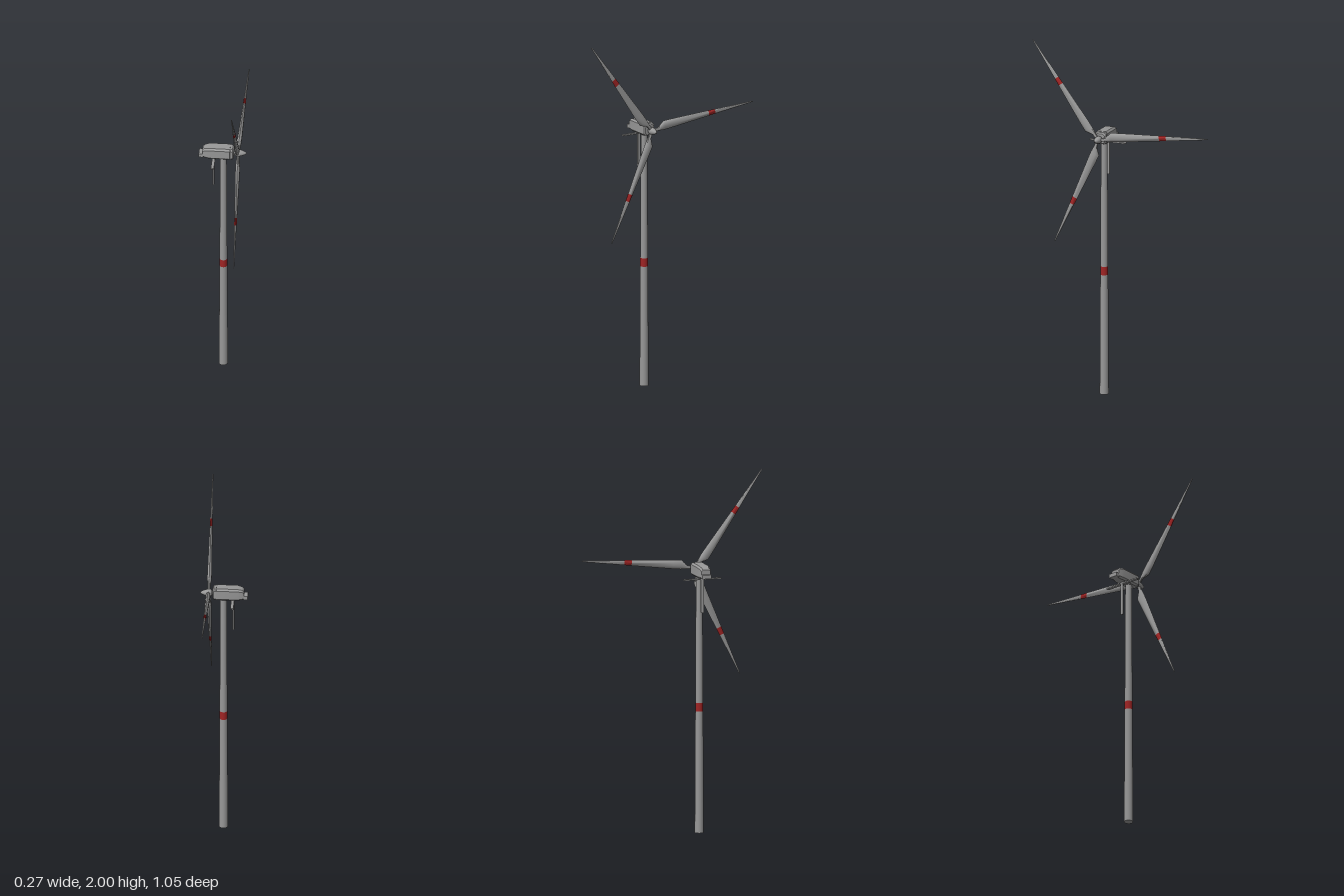
import * as THREE from 'three';
import { toCreasedNormals } from 'three/addons/utils/BufferGeometryUtils.js';

const grey = new THREE.MeshStandardMaterial({ color: 0x989898 });
grey.name = 'paintedGrey';
const red = new THREE.MeshStandardMaterial({ color: 0xa02424 });
red.name = 'warningRed';

const AXIS_Y = 1.468; // rotor axis height
const TOWER_Z = 0.13;

function add(parent, name, geometry, material, x = 0, y = 0, z = 0) {
  const mesh = new THREE.Mesh(geometry, material);
  mesh.name = name;
  mesh.position.set(x, y, z);
  parent.add(mesh);
  return mesh;
}

// Skin a list of equal-length point rings and close both ends
function loft(rings, crease) {
  const pos = [];
  const tri = (...pts) => pts.forEach((p) => pos.push(...p));
  const n = rings[0].length;
  const last = rings[rings.length - 1];
  for (let i = 0; i < rings.length - 1; i++) {
    for (let j = 0; j < n; j++) {
      const k = (j + 1) % n;
      const [a, b, c, d] = [rings[i][j], rings[i][k], rings[i + 1][j], rings[i + 1][k]];
      tri(a, b, c);
      tri(b, d, c);
    }
  }
  for (let j = 1; j < n - 1; j++) {
    tri(rings[0][0], rings[0][j + 1], rings[0][j]);
    tri(last[0], last[j], last[j + 1]);
  }
  const g = new THREE.BufferGeometry();
  g.setAttribute('position', new THREE.Float32BufferAttribute(pos, 3));
  return toCreasedNormals(g, crease);
}

// Blade ring at radius r: chord runs from -back to +front, t is half thickness
function bladeRing([r, back, front, t]) {
  const ring = [];
  for (let j = 0; j < 10; j++) {
    const a = (j / 10) * Math.PI * 2;
    ring.push([t * Math.sin(a), r, (front - back) / 2 + ((front + back) / 2) * Math.cos(a)]);
  }
  return ring;
}

function makeBlade() {
  const blade = new THREE.Group();
  const bandIn = [0.37, 0.009, 0.022, 0.0075];
  const bandOut = [0.412, 0.008, 0.019, 0.007];
  const inner = [
    [0.01, 0.009, 0.009, 0.009], [0.042, 0.009, 0.01, 0.009],
    [0.08, 0.013, 0.039, 0.013], [0.13, 0.013, 0.037, 0.0125], bandIn,
  ];
  const outer = [bandOut, [0.655, 0.004, 0.003, 0.0025], [0.66, 0.002, 0.002, 0.0015]];
  add(blade, 'bladeInner', loft(inner.map(bladeRing), 1), grey);
  add(blade, 'bladeBand', loft([bandIn, bandOut].map(bladeRing), 1), red);
  add(blade, 'bladeTip', loft(outer.map(bladeRing), 1), grey);
  return blade;
}

// Nacelle ring at x: chamfered rectangle with half width w between y0 and y1
function nacelleRing([x, w, y0, y1, c]) {
  return [
    [x, y1, -w + c], [x, y1, w - c], [x, y1 - c, w], [x, y0 + c, w],
    [x, y0, w - c], [x, y0, -w + c], [x, y0 + c, -w], [x, y1 - c, -w],
  ];
}

export function createModel() {
  const model = new THREE.Group();
  model.name = 'windTurbine';

  // Tower: stacked tapering sections with a red band
  const towerR = (y) => 0.025 - 0.007 * (y / 1.44);
  const tower = new THREE.Group();
  tower.name = 'tower';
  tower.position.z = TOWER_Z;
  model.add(tower);
  for (const [name, y0, y1, mat] of [
    ['towerLower', 0, 0.68, grey], ['towerBand', 0.68, 0.728, red], ['towerUpper', 0.728, 1.445, grey],
  ]) {
    add(tower, name, new THREE.CylinderGeometry(towerR(y1), towerR(y0), y1 - y0, 16), mat, 0, (y0 + y1) / 2);
  }

  // Nacelle housing, front collar and rear cooler
  const nacelle = new THREE.Group();
  nacelle.name = 'nacelle';
  nacelle.position.z = TOWER_Z;
  model.add(nacelle);
  const body = [
    [-0.114, 0.026, 1.442, 1.489, 0.008], [-0.104, 0.029, 1.439, 1.499, 0.009],
    [-0.078, 0.035, 1.436, 1.506, 0.01], [0.038, 0.035, 1.436, 1.507, 0.01],
  ];
  const collar = [
    [0.04, 0.034, 1.437, 1.506, 0.01], [0.052, 0.033, 1.438, 1.504, 0.01],
    [0.059, 0.027, 1.443, 1.497, 0.01],
  ];
  add(nacelle, 'housing', loft(body.map(nacelleRing), 0.5), grey);
  add(nacelle, 'frontCollar', loft(collar.map(nacelleRing), 0.5), grey);
  add(nacelle, 'collarJoint', new THREE.BoxGeometry(0.006, 0.062, 0.062), grey, 0.039, 1.471);
  add(nacelle, 'rearCooler', new THREE.BoxGeometry(0.024, 0.022, 0.052), grey, -0.123, 1.453);

  // Cross bar and hanging arm below the housing
  add(nacelle, 'crossBar', new THREE.BoxGeometry(0.017, 0.007, 0.217), grey, -0.052, 1.428);
  add(nacelle, 'barBracket', new THREE.BoxGeometry(0.012, 0.014, 0.02), grey, -0.052, 1.436);
  add(nacelle, 'hangingArm', new THREE.BoxGeometry(0.008, 0.19, 0.017), grey, -0.055, 1.335);

  // Rotor: shaft, pointed spinner and three blades
  const rotor = new THREE.Group();
  rotor.name = 'rotor';
  rotor.position.set(0.081, AXIS_Y, TOWER_Z);
  model.add(rotor);
  const shaft = add(rotor, 'shaft', new THREE.CylinderGeometry(0.013, 0.013, 0.03, 12), grey, -0.025);
  shaft.rotation.z = Math.PI / 2;
  const profile = [
    [0, -0.017], [0.017, -0.017], [0.02, -0.008], [0.02, 0.007], [0.016, 0.022], [0.009, 0.039], [0, 0.05],
  ].map(([r, h]) => new THREE.Vector2(r, h));
  const spinner = add(rotor, 'spinner', new THREE.LatheGeometry(profile, 16), grey);
  spinner.rotation.z = -Math.PI / 2;
  for (let i = 0; i < 3; i++) {
    const blade = makeBlade();
    blade.name = 'blade' + (i + 1);
    blade.rotation.x = THREE.MathUtils.degToRad(36.6 + 120 * i);
    rotor.add(blade);
  }
  return model;
}
